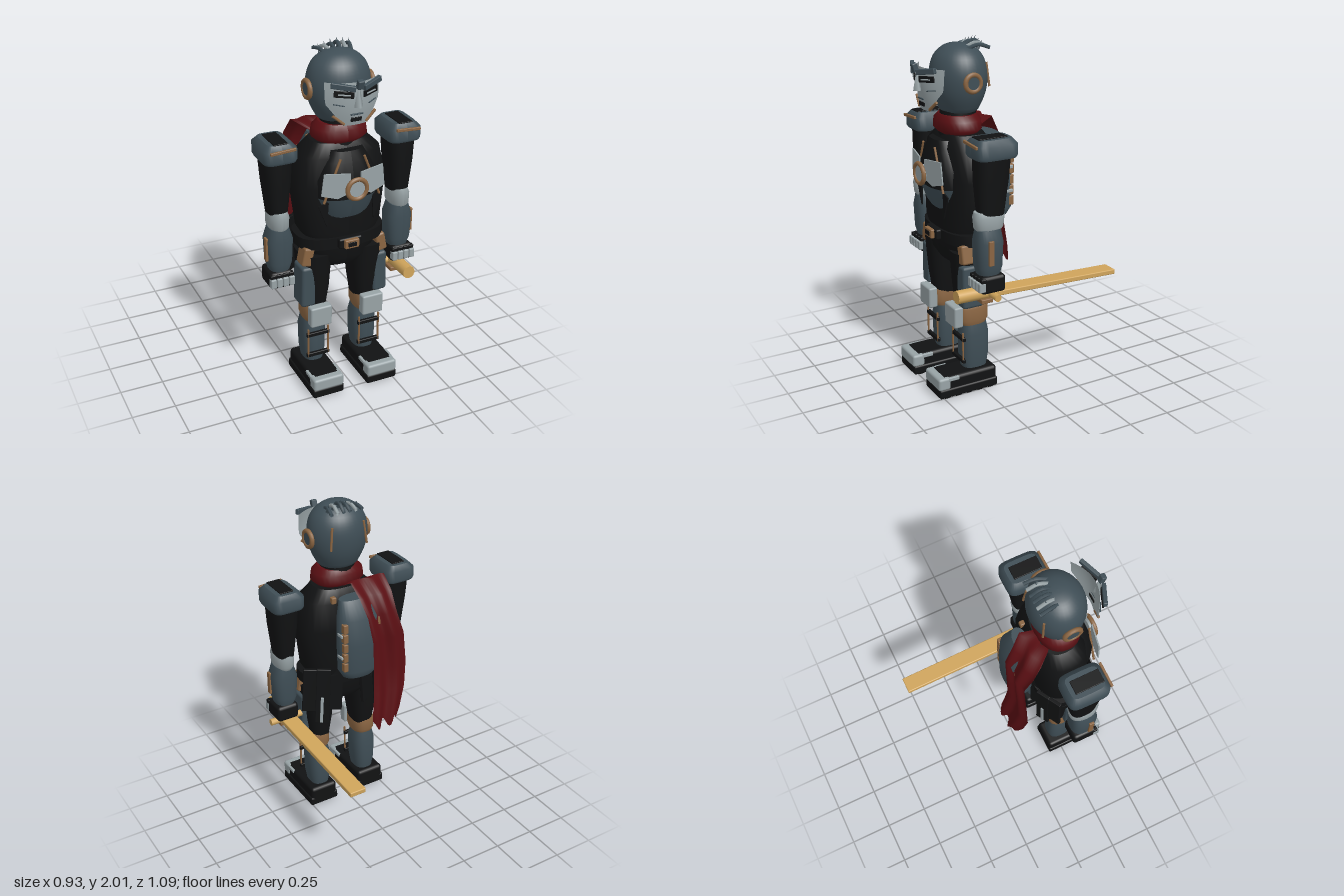
import * as THREE from 'three';
import { RoundedBoxGeometry } from 'three/addons/geometries/RoundedBoxGeometry.js';

const mat = (name, color, side = THREE.FrontSide) => {
  const m = new THREE.MeshStandardMaterial({ color, side });
  m.name = name;
  return m;
};

export function createModel() {
  const root = new THREE.Group();
  const slate = mat('slate armour', 0x3f4e56, THREE.DoubleSide);
  const black = mat('black cloth', 0x111213);
  const gray = mat('light gray plate', 0x98a3a6, THREE.DoubleSide);
  const copper = mat('copper trim', 0x8a6542);
  const wood = mat('wood', 0xcfa45b);
  const red = mat('dark red scarf', 0x5a0f13, THREE.DoubleSide);

  // ---- helpers ----
  const add = (name, geo, m, p = [0, 0, 0], r = [0, 0, 0]) => {
    const mesh = new THREE.Mesh(geo, m);
    mesh.name = name;
    mesh.position.set(...p);
    mesh.rotation.set(...r);
    root.add(mesh);
    return mesh;
  };
  const box = (name, m, w, h, d, p, r, rad = 0.2) =>
    add(name, new RoundedBoxGeometry(w, h, d, 2, Math.min(w, h, d) * rad), m, p, r);
  const bar = (name, m, a, b, rad, seg = 8) => {
    const A = new THREE.Vector3(...a), B = new THREE.Vector3(...b);
    const mesh = add(name, new THREE.CylinderGeometry(rad, rad, A.distanceTo(B), seg), m);
    mesh.position.copy(A).add(B).multiplyScalar(0.5);
    mesh.quaternion.setFromUnitVectors(new THREE.Vector3(0, 1, 0), B.sub(A).normalize());
    return mesh;
  };
  // grid of points f(u, v), u and v in 0..1
  const grid = (nu, nv, f) => {
    const pos = [], idx = [];
    for (let j = 0; j <= nv; j++) for (let i = 0; i <= nu; i++) pos.push(...f(i / nu, j / nv, j));
    for (let j = 0; j < nv; j++) for (let i = 0; i < nu; i++) {
      const a = j * (nu + 1) + i, b = a + nu + 1;
      idx.push(a, a + 1, b, a + 1, b + 1, b);
    }
    const g = new THREE.BufferGeometry();
    g.setAttribute('position', new THREE.Float32BufferAttribute(pos, 3));
    g.setIndex(idx);
    g.computeVertexNormals();
    return g;
  };
  // closed body from rounded sections [y, rx, rz, z]; e < 1 is boxier
  const loft = (levels, x = 0, e = 0.75) => {
    const first = levels[0], last = levels[levels.length - 1];
    const L = [[first[0], 0, 0, first[3]], first, ...levels, last, [last[0], 0, 0, last[3]]];
    const pw = (c) => Math.sign(c) * Math.abs(c) ** e;
    return grid(28, L.length - 1, (u, v, j) => {
      const a = u * Math.PI * 2, [y, rx, rz, z] = L[j];
      return [x + rx * pw(Math.sin(a)), y, z + rz * pw(Math.cos(a))];
    });
  };
  const plate = (pts, depth = 0.008) =>
    new THREE.ExtrudeGeometry(new THREE.Shape(pts.map((p) => new THREE.Vector2(...p))), { depth, bevelEnabled: false });

  // ---- head ----
  const profile = [[0, 1.59], [0.1, 1.6], [0.135, 1.64], [0.165, 1.71], [0.177, 1.79], [0.168, 1.86], [0.14, 1.915], [0.09, 1.955], [0.04, 1.97], [0, 1.973]];
  const headCurve = new THREE.SplineCurve(profile.map((p) => new THREE.Vector2(...p))).getPoints(30);
  headCurve.forEach((p) => { p.x = Math.max(0, p.x); });
  add('head', new THREE.LatheGeometry(headCurve, 32), slate, [0, 0, 0.255]).scale.z = 0.88;
  add('neck', new THREE.CylinderGeometry(0.1, 0.11, 0.14, 20), black, [0, 1.54, 0.26]);
  for (const s of [-1, 1]) {
    add('ear ring', new THREE.TorusGeometry(0.045, 0.014, 8, 24), copper, [s * 0.182, 1.78, 0.26], [0, Math.PI / 2, 0]);
    add('ear cup', new THREE.CylinderGeometry(0.045, 0.045, 0.03, 20), slate, [s * 0.175, 1.78, 0.26], [0, 0, Math.PI / 2]);
    bar('head seam', copper, [s * 0.1, 1.87, 0.135], [s * 0.115, 1.74, 0.125], 0.007, 6);
  }
  // swept hair tufts
  for (let i = 0; i < 6; i++) {
    const x = -0.075 + i * 0.035, top = 1.985 - Math.abs(i - 3) * 0.008;
    const tuft = new THREE.CatmullRomCurve3([[x * 0.8, 1.945, 0.25], [x, top, 0.18], [x * 1.1, 1.95, 0.12]].map((p) => new THREE.Vector3(...p)));
    add('hair tuft', new THREE.TubeGeometry(tuft, 8, 0.011, 5), i % 3 === 1 ? gray : slate);
    add('hair spike', new THREE.ConeGeometry(0.011, 0.055, 5), slate, [x, top, 0.175], [-0.5, 0, -x]);
  }

  // ---- face mask, set forward of the head ----
  const maskZ = (x, y) => 0.485 - 0.065 * (x / 0.155) ** 2 - 0.9 * (y - 1.77) ** 2;
  add('face mask', grid(16, 6, (u, v) => {
    const y = 1.625 + 0.235 * v, w = 0.155 * Math.min(1, 0.42 + v * 1.1), x = (u * 2 - 1) * w;
    return [x, y, maskZ(x, y)];
  }), gray);
  for (const s of [-1, 1]) {
    box('eye', black, 0.105, 0.034, 0.009, [s * 0.075, 1.805, 0.482], [0, s * 0.4, s * 0.08]);
    box('eye glint', gray, 0.065, 0.007, 0.006, [s * 0.076, 1.804, 0.489], [0, s * 0.4, s * 0.08]);
    box('brow', slate, 0.13, 0.03, 0.022, [s * 0.082, 1.848, 0.488], [0, s * 0.42, s * 0.16]);
    box('cheek line', slate, 0.06, 0.005, 0.006, [s * 0.095, 1.745, 0.466], [0, s * 0.5, s * 0.15]);
    bar('cheek trim', copper, [s * 0.062, 1.635, 0.462], [s * 0.122, 1.685, 0.448], 0.008, 6);
  }
  add('nose', new THREE.ConeGeometry(0.026, 0.13, 4), gray, [0, 1.8, 0.5]);
  box('brow crest', slate, 0.035, 0.05, 0.03, [0, 1.86, 0.515], [0.3, 0, 0]);
  box('mouth', black, 0.06, 0.022, 0.009, [0, 1.66, 0.475]);
  box('upper lip', slate, 0.07, 0.008, 0.008, [0, 1.69, 0.482]);

  // ---- torso ----
  add('torso', loft([[0.88, 0.18, 0.13, 0.26], [0.98, 0.24, 0.15, 0.26], [1.25, 0.275, 0.155, 0.25], [1.42, 0.235, 0.145, 0.25], [1.49, 0.16, 0.11, 0.25]]), black);
  add('belly plate', loft([[1.02, 0.11, 0.07, 0.31], [1.1, 0.15, 0.12, 0.31], [1.2, 0.185, 0.155, 0.31]]), slate);
  add('chest', loft([[1.2, 0.185, 0.155, 0.31], [1.3, 0.185, 0.155, 0.31], [1.4, 0.14, 0.13, 0.31], [1.46, 0.1, 0.11, 0.31]]), black);
  add('collar plate', plate([[-0.065, 1.43], [-0.05, 1.35], [-0.075, 1.33], [0.075, 1.33], [0.05, 1.35], [0.065, 1.43]]), slate, [0, 0.3, 0.55], [-0.22, 0, 0]);
  for (const s of [-1, 1]) {
    const pts = [[0.03, 1.36], [0.175, 1.37], [0.19, 1.245], [0.1, 1.22], [0.03, 1.25]].map(([x, y]) => [s * x, y]);
    add('chest plate', plate(pts), gray, [0, 0, 0.486], [0, s * 0.2, 0]);
    bar('chest cord', copper, [s * 0.07, 1.43, 0.44], [s * 0.165, 1.19, 0.44], 0.007, 6);
    add('belly side panel', plate([[s * 0.13, 1.19], [s * 0.19, 1.17], [s * 0.14, 1.04]]), black, [0, 0, 0.42]);
  }
  add('chest ring', new THREE.TorusGeometry(0.056, 0.013, 8, 28), copper, [0, 1.272, 0.502]);
  add('chest disc', new THREE.CylinderGeometry(0.05, 0.05, 0.03, 24), gray, [0, 1.272, 0.49], [Math.PI / 2, 0, 0]);

  // ---- belt and hips ----
  add('belt', loft([[0.885, 0.262, 0.155, 0.26], [0.95, 0.262, 0.155, 0.26]]), black);
  box('belt clasp', black, 0.14, 0.06, 0.05, [0, 0.92, 0.415]);
  box('buckle', copper, 0.085, 0.052, 0.03, [0, 0.92, 0.445]);
  box('buckle face', black, 0.05, 0.026, 0.009, [0, 0.92, 0.46]);
  add('hips', loft([[0.75, 0.13, 0.1, 0.26], [0.8, 0.19, 0.13, 0.26], [0.9, 0.22, 0.14, 0.26]]), black);
  for (const s of [-1, 1]) {
    box('pouch', copper, 0.06, 0.11, 0.09, [s * 0.225, 0.84, 0.33], [0, 0, s * 0.2]);
    // hanging coat tails
    for (const [x, z, h] of [[0.1, 0.125, 0.3], [0.19, 0.12, 0.36], [0.255, 0.16, 0.28]])
      box('coat tail', black, 0.085, h, 0.022, [s * x, 1.01 - h / 2, z], [0.05, s * -0.5, s * 0.08]);
    box('tail strip', gray, 0.018, 0.17, 0.012, [s * 0.205, 0.74, 0.11], [0.05, s * -0.5, s * 0.08]);
  }

  // ---- legs ----
  for (const s of [-1, 1]) {
    const x = s * 0.162;
    add('thigh', loft([[0.48, 0.06, 0.085, 0.27], [0.62, 0.08, 0.105, 0.27], [0.84, 0.095, 0.12, 0.27]], s * 0.155), black);
    box('thigh plate', slate, 0.085, 0.25, 0.13, [s * 0.222, 0.65, 0.31], [0, 0, s * 0.02]);
    add('knee joint', loft([[0.4, 0.06, 0.08, 0.275], [0.43, 0.068, 0.095, 0.275], [0.5, 0.068, 0.095, 0.275], [0.525, 0.055, 0.08, 0.275]], x), copper);
    box('knee pad', gray, 0.13, 0.125, 0.055, [x, 0.465, 0.385]);
    add('shin', loft([[0.11, 0.055, 0.07, 0.265], [0.2, 0.068, 0.085, 0.265], [0.34, 0.072, 0.085, 0.265], [0.42, 0.055, 0.07, 0.265]], x), slate);
    for (const y of [0.19, 0.325]) box('shin strap', black, 0.14, 0.024, 0.02, [x, y, 0.357]);
    for (const d of [-0.062, 0.062]) bar('shin rod', copper, [x + d, 0.18, 0.362], [x + d, 0.365, 0.362], 0.006, 6);
    const fx = s * 0.17;
    box('boot', black, 0.175, 0.1, 0.35, [fx, 0.08, 0.335]);
    box('sole', black, 0.19, 0.055, 0.37, [fx, 0.034, 0.345]);
    box('toe cap', gray, 0.185, 0.075, 0.075, [fx, 0.092, 0.497]);
    box('toe trim', gray, 0.185, 0.022, 0.07, [fx, 0.116, 0.44]);
    for (let i = 0; i < 5; i++) box('tread', black, 0.17, 0.016, 0.035, [fx, 0.008, 0.2 + i * 0.07]);
  }

  // ---- arms ----
  for (const s of [-1, 1]) {
    const x = s * 0.368;
    add('shoulder pad', loft([[1.425, 0.092, 0.115, 0.253], [1.44, 0.098, 0.123, 0.253], [1.5, 0.098, 0.123, 0.253], [1.53, 0.068, 0.098, 0.253]], x, 0.4), slate);
    box('shoulder inset', black, 0.08, 0.012, 0.17, [x, 1.53, 0.265]);
    box('shoulder trim', copper, 0.145, 0.016, 0.014, [x, 1.503, 0.38], [0, 0, s * -0.06]);
    add('upper arm', loft([[1.1, 0.052, 0.075, 0.265], [1.3, 0.075, 0.095, 0.26], [1.44, 0.085, 0.1, 0.255]], x), black);
    add('elbow', loft([[1.01, 0.04, 0.065, 0.275], [1.04, 0.057, 0.085, 0.275], [1.1, 0.057, 0.092, 0.275], [1.13, 0.045, 0.085, 0.275]], x, 0.85), gray);
    add('forearm', loft([[0.765, 0.055, 0.06, 0.28], [0.82, 0.072, 0.075, 0.28], [0.96, 0.078, 0.08, 0.28], [1.03, 0.055, 0.07, 0.28]], x), slate);
    box('forearm strip', copper, 0.014, 0.14, 0.03, [s * 0.446, 0.91, 0.3]);
    box('fist', black, 0.135, 0.1, 0.15, [s * 0.375, 0.725, 0.28]);
    for (let i = 0; i < 4; i++) {
      box('finger', gray, 0.032, 0.055, 0.04, [s * (0.322 + i * 0.036), 0.72, 0.352]);
      box('knuckle', black, 0.03, 0.025, 0.03, [s * (0.322 + i * 0.036), 0.755, 0.345]);
    }
  }

  // ---- wooden sword in the left hand ----
  const sx = 0.357;
  bar('sword handle', wood, [sx, 0.66, 0.47], [sx, 0.655, 0.25], 0.037, 14);
  bar('sword guard', wood, [sx - 0.11, 0.653, 0.27], [sx + 0.11, 0.653, 0.27], 0.02, 12);
  box('sword blade', wood, 0.098, 0.03, 0.81, [sx, 0.637, -0.145], [-0.038, 0, 0]);
  box('thumb', copper, 0.09, 0.025, 0.07, [sx, 0.617, 0.3]);

  // ---- backpack ----
  add('backpack', loft([[0.98, 0.1, 0.06, 0.035], [1.03, 0.13, 0.078, 0.03], [1.2, 0.135, 0.08, 0.03], [1.36, 0.13, 0.076, 0.035], [1.46, 0.1, 0.045, 0.07]], 0, 0.9), slate);
  for (const s of [-1, 1]) {
    for (let i = 0; i < 5; i++) box('pack rib', copper, 0.03, 0.056, 0.034, [s * 0.112, 1.07 + i * 0.062, -0.01]);
    for (const y of [1.13, 1.27]) box('pack clip', gray, 0.018, 0.018, 0.05, [s * 0.128, y, 0.01]);
    box('pack strap', copper, 0.03, 0.04, 0.03, [s * 0.11, 1.44, 0.12]);
  }

  // ---- scarf ----
  const ring = loft([[1.485, 0.13, 0.1, 0.265], [1.51, 0.158, 0.123, 0.265], [1.56, 0.15, 0.12, 0.265], [1.59, 0.115, 0.1, 0.265]], 0, 0.9);
  add('scarf wrap', ring, red);
  // tail sections [y, outer x, inner x, z]
  const tail = [[1.5, -0.12, 0.03, 0.16], [1.55, -0.2, 0.03, 0.075], [1.46, -0.22, 0, 0.02], [1.36, -0.22, -0.02, -0.035], [1.2, -0.27, -0.05, -0.045],
    [1.0, -0.29, -0.06, -0.045], [0.85, -0.27, -0.05, -0.065], [0.72, -0.23, -0.035, -0.08], [0.65, -0.2, -0.035, -0.085]];
  add('scarf tail', grid(18, tail.length - 1, (u, v, j) => {
    const [y, x0, x1, z] = tail[j];
    const ragged = j === tail.length - 1 ? 0.03 * Math.sin(u * 14) : 0;
    return [x0 + (x1 - x0) * u, y + ragged, z + 0.013 * Math.sin(u * 11 + v * 2)];
  }), red);

  return root;
}
